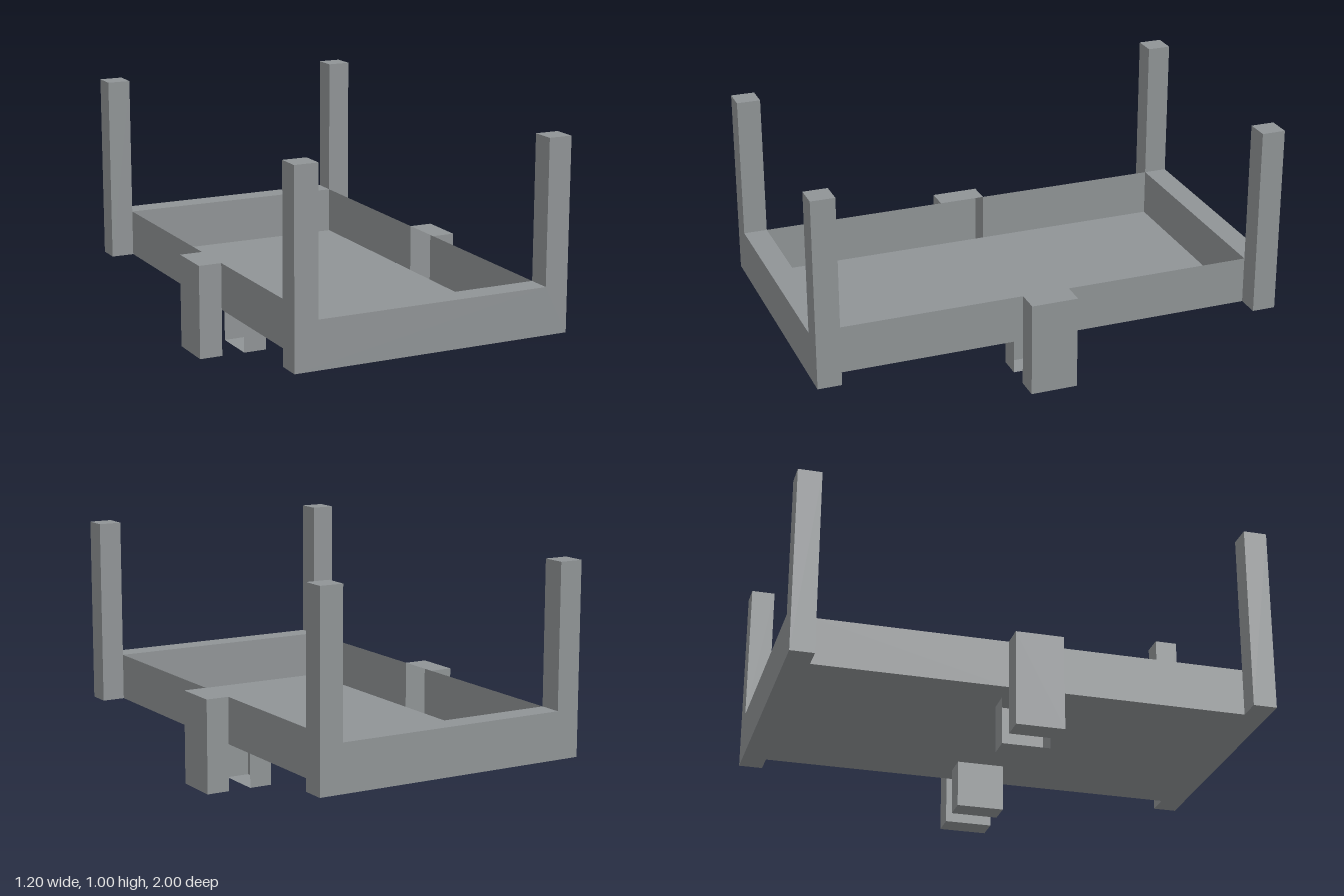
import * as THREE from 'three';

const grey = new THREE.MeshStandardMaterial({ color: 0x909496, side: THREE.DoubleSide });
grey.name = 'grey';

export function createModel() {
  const model = new THREE.Group();
  model.name = 'bedFrame';

  const add = (name, geometry, x, y, z) => {
    const mesh = new THREE.Mesh(geometry, grey);
    mesh.name = name;
    mesh.position.set(x, y, z);
    model.add(mesh);
    return mesh;
  };

  // Thin panel standing in the y-z plane
  const sidePanel = (name, x, y, z, height, depth) => {
    add(name, new THREE.PlaneGeometry(depth, height).rotateY(Math.PI / 2), x, y, z);
  };
  // Thin panel standing in the x-y plane
  const frontPanel = (name, x, y, z, width, height) => {
    add(name, new THREE.PlaneGeometry(width, height), x, y, z);
  };
  // Thin level panel
  const levelPanel = (name, x, y, z, width, depth) => {
    add(name, new THREE.PlaneGeometry(width, depth).rotateX(-Math.PI / 2), x, y, z);
  };

  // Floor of the tray
  levelPanel('floor', 0, 0.2, 0, 1, 1.8);

  // U-shaped ends: a rail with a post at each corner
  const outline = [
    [-0.6, 0.2], [0.6, 0.2], [0.6, 1], [0.5, 1],
    [0.5, 0.4], [-0.5, 0.4], [-0.5, 1], [-0.6, 1],
  ];
  const endShape = new THREE.Shape(outline.map(([x, y]) => new THREE.Vector2(x, y)));
  const endGeometry = new THREE.ExtrudeGeometry(endShape, { depth: 0.1, bevelEnabled: false });
  add('frontEnd', endGeometry, 0, 0, 0.9);
  add('backEnd', endGeometry, 0, 0, -1);

  for (const [side, s] of [['left', 1], ['right', -1]]) {
    // Thin side walls, interrupted by the hollow outer leg
    for (const z of [-0.5, 0.5]) sidePanel(side + 'Wall', s * 0.5, 0.3, z, 0.2, 0.8);

    // Hollow outer leg, open to the tray above floor level
    sidePanel(side + 'OuterLegOutside', s * 0.6, 0.2, 0, 0.4, 0.2);
    sidePanel(side + 'OuterLegInside', s * 0.5, 0.1, 0, 0.2, 0.2);
    for (const z of [-0.1, 0.1]) frontPanel(side + 'OuterLegCheek', s * 0.55, 0.2, z, 0.1, 0.4);
    for (const y of [0, 0.4]) levelPanel(side + 'OuterLegCap', s * 0.55, y, 0, 0.1, 0.2);

    // Hollow inner leg, open on its outer side
    sidePanel(side + 'InnerLegInside', s * 0.3, 0.1, 0, 0.2, 0.2);
    for (const z of [-0.1, 0.1]) frontPanel(side + 'InnerLegCheek', s * 0.35, 0.1, z, 0.1, 0.2);
    levelPanel(side + 'InnerLegFoot', s * 0.35, 0, 0, 0.1, 0.2);
  }

  return model;
}
